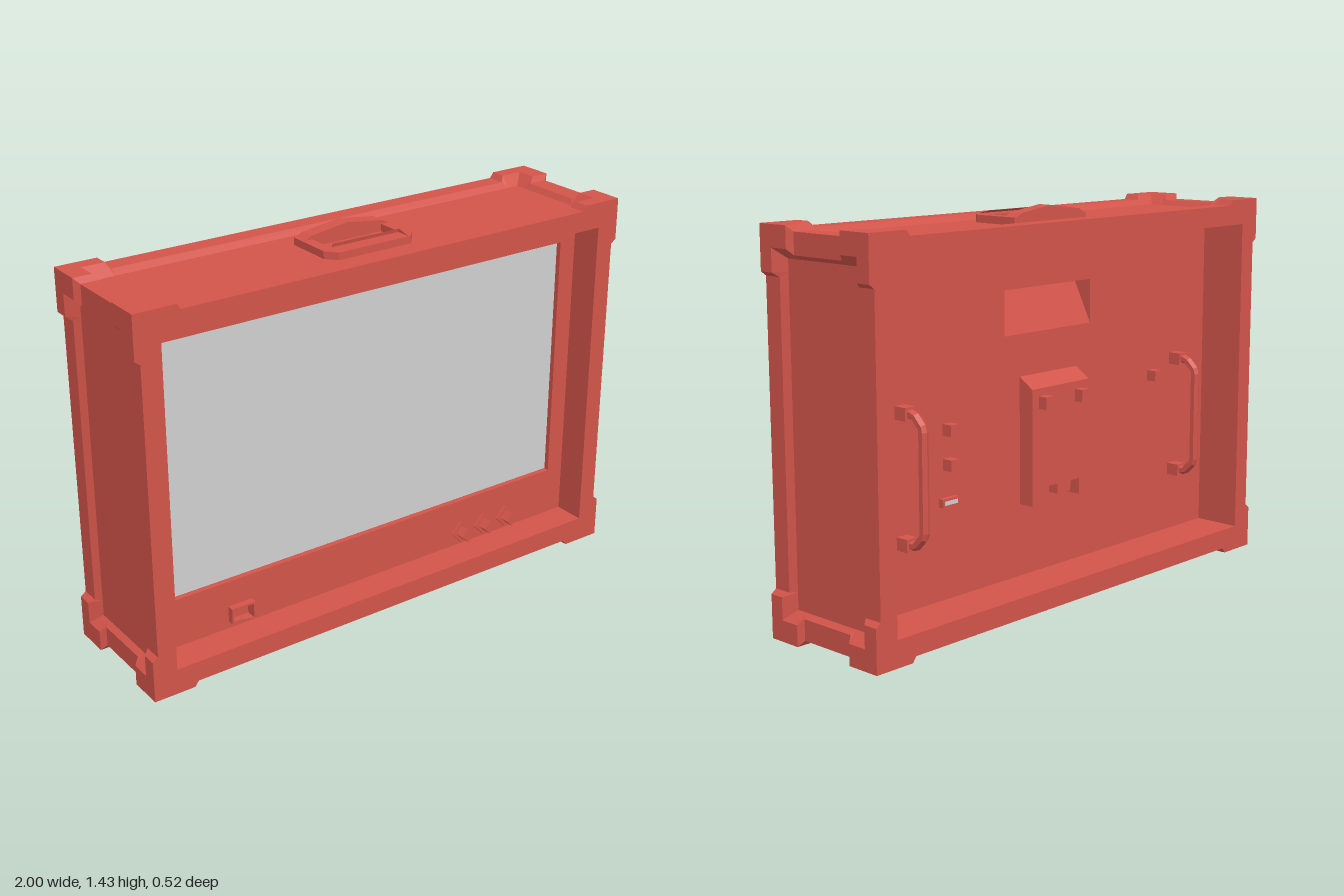
import * as THREE from 'three';

const red = new THREE.MeshStandardMaterial({ color: 0xd2544a });
red.name = 'caseRed';
const grey = new THREE.MeshStandardMaterial({ color: 0xd0d0d0 });
grey.name = 'screenGrey';

const MID = 0.715; // height of the case centre

function add(parent, name, geometry, x = 0, y = 0, z = 0, material = red) {
  const mesh = new THREE.Mesh(geometry, material);
  mesh.name = name;
  mesh.position.set(x, y, z);
  parent.add(mesh);
  return mesh;
}

const box = (w, h, d) => new THREE.BoxGeometry(w, h, d);
const poly = (pts) => new THREE.Shape(pts.map(([x, y]) => new THREE.Vector2(x, y)));
const rect = (x0, x1, y0, y1) => poly([[x0, y0], [x1, y0], [x1, y1], [x0, y1]]);

function extrude(shape, depth, hole) {
  if (hole) shape.holes.push(hole);
  return new THREE.ExtrudeGeometry(shape, { depth, bevelEnabled: false });
}

// Straight bar along one axis, changing cross-section at each step [t, section]
function loft(axis, steps) {
  const place = {
    x: (u, v, t) => [t, u, v],
    y: (u, v, t) => [v, t, u],
    z: (u, v, t) => [u, v, t],
  }[axis];
  const n = steps[0][1].length;
  const pos = [], index = [];
  for (const [t, section] of steps) for (const [u, v] of section) pos.push(...place(u, v, t));
  for (let s = 0; s < steps.length - 1; s++) {
    for (let i = 0; i < n; i++) {
      const a = s * n + i, b = s * n + (i + 1) % n;
      index.push(a, b, b + n, a, b + n, a + n);
    }
  }
  const last = (steps.length - 1) * n;
  for (let i = 1; i < n - 1; i++) index.push(0, i + 1, i, last, last + i, last + i + 1);
  const g = new THREE.BufferGeometry();
  g.setAttribute('position', new THREE.Float32BufferAttribute(pos, 3));
  g.setIndex(index);
  const flat = g.toNonIndexed();
  flat.computeVertexNormals();
  return flat;
}

// Edge bar: thick at both corners, thin between them
const edgeBar = (axis, end, thick, thin, corner, rail) => loft(axis, [
  [-end, corner], [-thick, corner], [-thin, rail], [thin, rail], [thick, corner], [end, corner]]);

function buildCase(root) {
  const g = new THREE.Group();
  g.name = 'case';
  g.position.y = MID;
  root.add(g);

  add(g, 'shell', extrude(rect(-0.96, 0.96, -0.655, 0.655), 0.52, rect(-0.91, 0.91, -0.6, 0.6)), 0, 0, -0.26);

  const bars = {
    horizontalEdge: edgeBar('x', 1, 0.845, 0.83,
      [[0.695, 0.26], [0.655, 0.26], [0.655, 0.17], [0.695, 0.205]],
      [[0.675, 0.26], [0.655, 0.26], [0.655, 0.17], [0.675, 0.19]]),
    verticalEdge: edgeBar('y', 0.695, 0.54, 0.525,
      [[0.26, 0.96], [0.26, 1], [0.205, 1], [0.17, 0.96]],
      [[0.26, 0.96], [0.26, 0.98], [0.19, 0.98], [0.17, 0.96]]),
    depthEdge: edgeBar('z', 0.26, 0.13, 0.115,
      [[1, 0.695], [0.93, 0.695], [0.89, 0.655], [0.96, 0.655], [0.96, 0.585], [1, 0.62]],
      [[0.98, 0.675], [0.905, 0.675], [0.89, 0.655], [0.96, 0.655], [0.96, 0.585], [0.98, 0.6]]),
  };
  for (const [name, geometry] of Object.entries(bars)) {
    for (const r of [[0, 0, 0], [Math.PI, 0, 0], [0, Math.PI, 0], [0, 0, Math.PI]]) {
      add(g, name, geometry).rotation.set(...r);
    }
  }
}

function buildFront(root) {
  add(root, 'frontPanel', extrude(rect(-0.91, 0.91, 0.115, 1.315), 0.02, rect(-0.84, 0.84, 0.3, 1.24)), 0, 0, 0.12);
  add(root, 'screen', box(1.67, 0.93, 0.008), 0, 0.77, 0.122, grey);
  add(root, 'screenBacking', box(1.82, 1.2, 0.12), 0, MID, 0.06);

  // Power switch
  add(root, 'switchFrame', extrude(rect(-0.048, 0.048, -0.03, 0.03), 0.025, rect(-0.04, 0.04, -0.022, 0.022)), -0.585, 0.172, 0.14);
  add(root, 'switchRocker', loft('y', [-0.022, 0.022].map((t) => [t,
    [[0, -0.04], [0.015, -0.04], [0.04, 0.032], [0, 0.032]].map(([u, v]) => [u, v]).reverse()])), -0.585, 0.172, 0.14);

  // Diamond knobs
  for (const x of [0.4, 0.51, 0.62]) {
    add(root, 'knobBase', box(0.062, 0.062, 0.012), x, 0.17, 0.146).rotation.z = Math.PI / 4;
    add(root, 'knob', box(0.038, 0.038, 0.05), x, 0.17, 0.165).rotation.z = Math.PI / 4;
  }
}

function buildBack(root) {
  const BACK = -0.08;
  add(root, 'backPanel', extrude(rect(-0.91, 0.91, 0.115, 1.315), 0.08, rect(-0.225, 0.225, 0.99, 1.15)), 0, 0, BACK);

  // Sloping floor of the upper pocket
  const wedge = [[0.99, BACK], [0.99, 0], [1.15, 0]].reverse();
  add(root, 'pocketSlope', loft('x', [[-0.225, wedge], [0.225, wedge]]));

  // Raised central block: sloped top, notched foot
  const blockShape = poly([[-0.15, 0.38], [-0.1, 0.38], [-0.1, 0.44], [0.1, 0.44], [0.1, 0.38], [0.15, 0.38],
    [0.15, 0.8], [-0.15, 0.8]]);
  add(root, 'backBlock', extrude(blockShape, 0.06), 0, 0, BACK - 0.06);
  const slope = [[0.8, BACK - 0.06], [0.84, BACK], [0.8, BACK]];
  add(root, 'backBlockSlope', loft('x', [[-0.15, slope], [0.15, slope]]));
  add(root, 'blockPlug', box(0.07, 0.05, 0.04), -0.04, 0.42, BACK - 0.02);
  for (const x of [-0.095, 0.095]) add(root, 'blockStud', box(0.04, 0.045, 0.04), x, 0.75, BACK - 0.075);

  // Small studs and a port
  for (const [x, y] of [[0.51, 0.71], [0.51, 0.59], [-0.58, 0.75]]) {
    add(root, 'backStud', box(0.035, 0.04, 0.04), x, y, BACK - 0.02);
  }
  add(root, 'port', box(0.075, 0.03, 0.02), 0.51, 0.46, BACK - 0.01);
  add(root, 'portSlot', box(0.06, 0.014, 0.004), 0.51, 0.46, BACK - 0.02, grey);

  // Grab handles
  const path = new THREE.CurvePath();
  const pts = [[0.58 - 0.36, 0], [0.22, -0.07], [0.18, -0.11], [-0.18, -0.11], [-0.22, -0.07], [-0.22, 0]]
    .map(([y, z]) => new THREE.Vector3(0, y, z));
  for (let i = 0; i < pts.length - 1; i++) path.add(new THREE.LineCurve3(pts[i], pts[i + 1]));
  const tube = new THREE.TubeGeometry(path, 40, 0.017, 6, false).toNonIndexed();
  tube.computeVertexNormals();
  for (const x of [-0.72, 0.72]) {
    const handle = new THREE.Group();
    handle.name = 'grabHandle';
    handle.position.set(x, 0.58, BACK);
    root.add(handle);
    add(handle, 'handleTube', tube);
    for (const y of [-0.22, 0.22]) add(handle, 'handleMount', box(0.045, 0.045, 0.05), 0, y, -0.025);
  }
}

function buildTopAndFeet(root) {
  // Carry handle: flat ring, arched rear bar and low front lip
  const ring = extrude(
    poly([[-0.185, -0.09], [0.185, -0.09], [0.185, 0.09], [0.15, 0.13], [-0.15, 0.13], [-0.185, 0.09]]),
    0.03, rect(-0.145, 0.145, -0.035, 0.07)).rotateX(Math.PI / 2);
  add(root, 'carryRing', ring, 0, 1.397, 0);
  const arch = poly([[-0.185, 1.39], [0.185, 1.39], [0.15, 1.41], [0, 1.43], [-0.15, 1.41]]);
  add(root, 'carryArch', extrude(arch, 0.055), 0, 0, -0.09);
  const lip = [[1.39, 0.07], [1.41, 0.075], [1.397, 0.13], [1.39, 0.13]].reverse();
  add(root, 'carryLip', loft('x', [[-0.14, lip], [0.14, lip]]));

  // Tapered feet
  const foot = new THREE.CylinderGeometry(0.055 * Math.SQRT2, 0.04 * Math.SQRT2, 0.06, 4).rotateY(Math.PI / 4).toNonIndexed();
  foot.computeVertexNormals();
  for (const x of [-0.825, 0.825]) for (const z of [-0.105, 0.105]) add(root, 'foot', foot, x, 0.03, z);
}

export function createModel() {
  const root = new THREE.Group();
  root.name = 'monitor';
  buildCase(root);
  buildFront(root);
  buildBack(root);
  buildTopAndFeet(root);
  return root;
}
